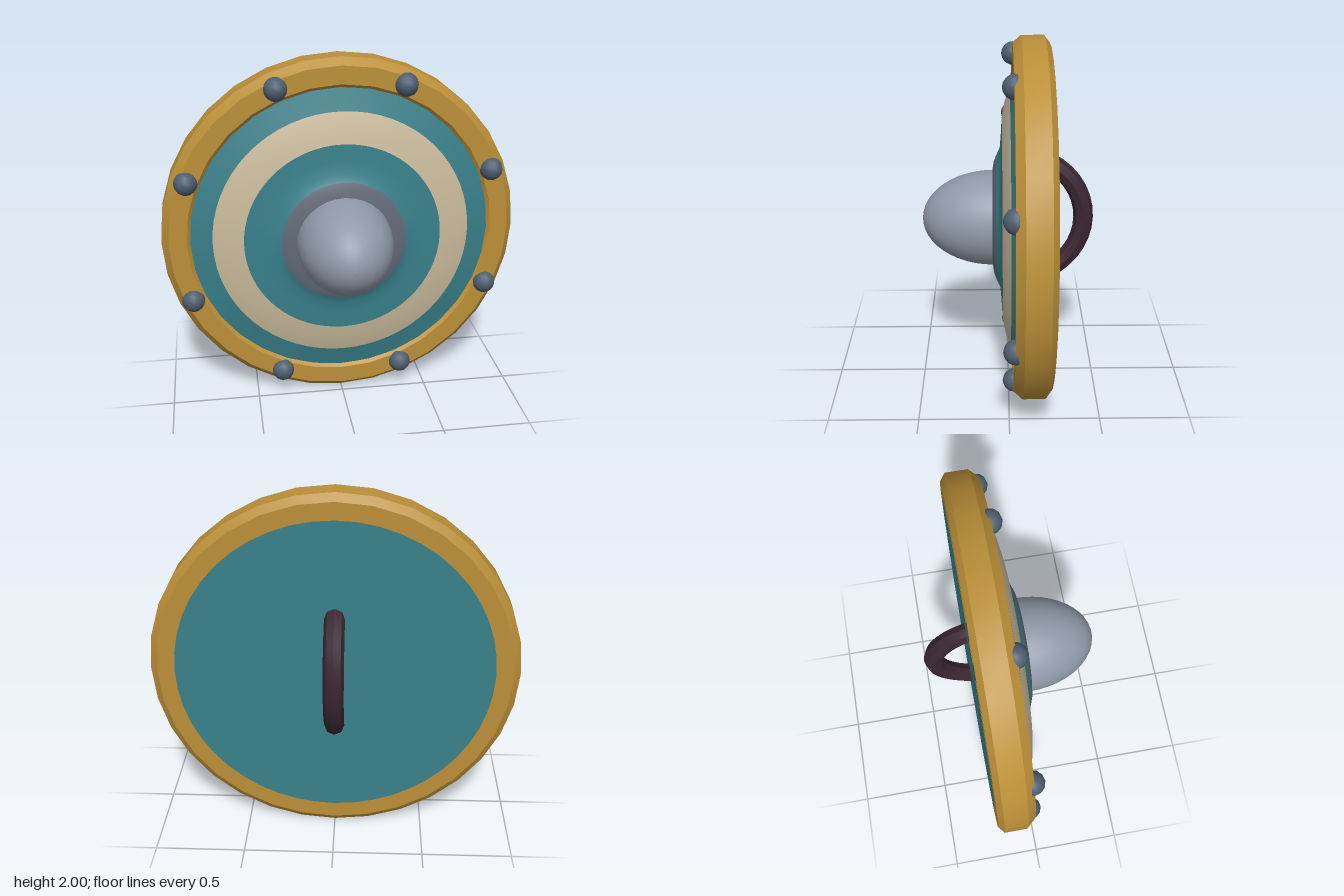
import * as THREE from 'three';
import { toCreasedNormals } from 'three/addons/utils/BufferGeometryUtils.js';

const paint = (name, color) => {
  const m = new THREE.MeshStandardMaterial({ color });
  m.name = name;
  return m;
};

export function createModel() {
  const gold = paint('gold', 0xbb8f38);
  const teal = paint('teal', 0x39808a);
  const cream = paint('cream', 0xcabb9c);
  const steel = paint('steel', 0x8f99a9);
  const darkSteel = paint('dark steel', 0x626a78);
  const iron = paint('iron', 0x4e5f70);
  const leather = paint('leather', 0x3a2632);

  const shield = new THREE.Group();
  shield.name = 'shield';
  shield.position.y = 1;

  const add = (name, geometry, material, parent = shield) => {
    const mesh = new THREE.Mesh(geometry, material);
    mesh.name = name;
    parent.add(mesh);
    return mesh;
  };

  // Turned part around the z axis; profile is [radius, z] from back to front
  const turn = (profile, segments) =>
    new THREE.LatheGeometry(profile.map(([r, z]) => new THREE.Vector2(r, z)), segments).rotateX(Math.PI / 2);

  // Bevelled rim
  const rimProfile = [
    [0.83, -0.195], [0.86, -0.225], [0.96, -0.225], [1, -0.195], [1, -0.07],
    [0.96, -0.025], [0.86, -0.025], [0.83, -0.055], [0.83, -0.195],
  ];
  add('rim', toCreasedNormals(turn(rimProfile, 32), 0.5), gold);

  // Back board, flush with the rim
  add('backBoard', new THREE.CircleGeometry(0.865, 48).rotateY(Math.PI).translate(0, 0, -0.227), teal);

  // Domed face in painted rings
  add('outerBand', turn([[0.85, -0.045], [0.78, -0.026], [0.72, -0.008]], 64), teal);
  add('creamBand', turn([[0.72, -0.008], [0.64, 0.018], [0.55, 0.034]], 64), cream);
  add('innerBand', turn([[0.55, 0.034], [0.46, 0.039], [0.39, 0.045], [0.345, 0.066]], 64), teal);
  add('bossFlange', turn([[0.345, 0.066], [0.31, 0.079], [0.26, 0.087]], 64), darkSteel);

  // Central boss: half an ellipsoid
  const bossProfile = [];
  for (let i = 0; i <= 12; i++) {
    const a = (i / 12) * Math.PI / 2;
    bossProfile.push([0.265 * Math.cos(a), 0.082 + 0.393 * Math.sin(a)]);
  }
  add('boss', turn(bossProfile, 32), steel);

  // Eight rivets around the rim
  const rivets = new THREE.Group();
  rivets.name = 'rivets';
  shield.add(rivets);
  const rivetGeometry = new THREE.SphereGeometry(0.065, 12, 8);
  for (let i = 0; i < 8; i++) {
    const a = (i + 0.5) * Math.PI / 4;
    add('rivet', rivetGeometry, iron, rivets)
      .position.set(0.915 * Math.cos(a), 0.915 * Math.sin(a), -0.03);
  }

  // Arched grip on the back
  const grip = new THREE.TorusGeometry(0.37, 0.055, 8, 20, Math.PI)
    .rotateX(-Math.PI / 2).rotateZ(Math.PI / 2).translate(0, 0, -0.05);
  add('handle', toCreasedNormals(grip, 0.6), leather);

  const model = new THREE.Group();
  model.name = 'model';
  model.add(shield);
  return model;
}
